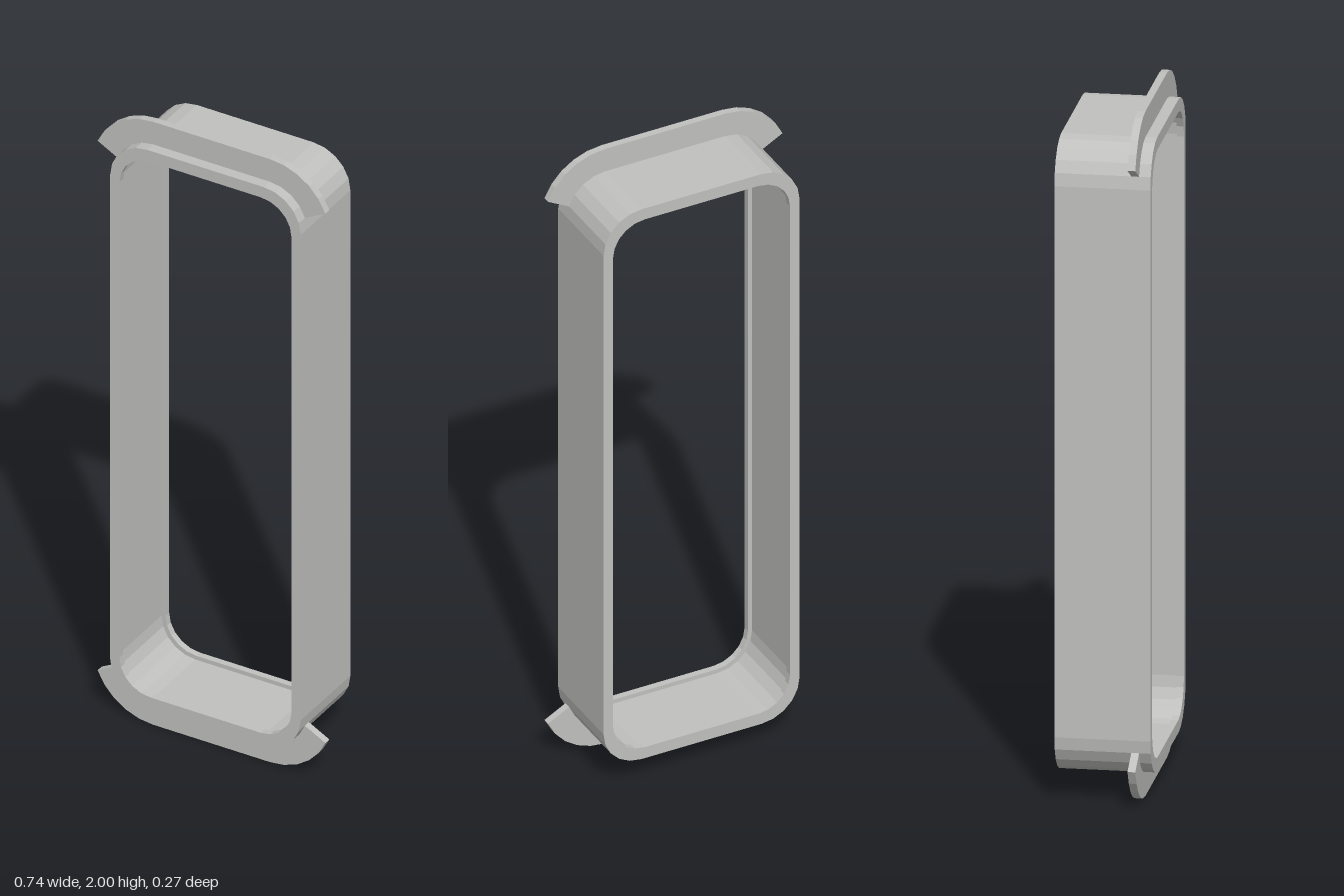
import * as THREE from 'three';

const CX = 0.19, CY = 0.805; // centres of the rounded corners, from the middle of the frame
const STEPS = 5;             // facets per corner

// Points of a corner arc, angles in degrees
function arc(cx, cy, r, from, to, steps = STEPS) {
  const pts = [];
  for (let i = 0; i <= steps; i++) {
    const a = THREE.MathUtils.degToRad(from + (to - from) * i / steps);
    pts.push(new THREE.Vector2(cx + r * Math.cos(a), cy + r * Math.sin(a)));
  }
  return pts;
}

// Faceted rounded rectangle with half sizes w, h and corner radius r
function roundedRect(w, h, r) {
  const x = w - r, y = h - r;
  return [
    ...arc(x, y, r, 0, 90), ...arc(-x, y, r, 90, 180),
    ...arc(-x, -y, r, 180, 270), ...arc(x, -y, r, 270, 360),
  ];
}

function extrude(outline, hole, z0, z1) {
  const shape = new THREE.Shape(outline);
  if (hole) shape.holes.push(new THREE.Path(hole));
  const geo = new THREE.ExtrudeGeometry(shape, { depth: z1 - z0, bevelEnabled: false });
  return geo.translate(0, 0, z0);
}

export function createModel() {
  const model = new THREE.Group();
  model.name = 'rectangularSleeve';
  const grey = new THREE.MeshStandardMaterial({ color: 0xc0c0be });
  grey.name = 'light grey';

  const add = (name, geo) => {
    const mesh = new THREE.Mesh(geo, grey);
    mesh.name = name;
    mesh.position.y = 1;
    model.add(mesh);
    return mesh;
  };

  // Sleeve: a thin wall between two slightly thicker end lips
  const outer = roundedRect(0.31, 0.925, 0.12);
  const lip = roundedRect(0.28, 0.888, 0.1);
  const recess = roundedRect(0.293, 0.901, 0.11);
  add('sleeveWall', extrude(outer, recess, -0.116, 0.116));
  add('frontLip', extrude(outer, lip, 0.116, 0.136));
  add('backLip', extrude(outer, lip, -0.136, -0.116));

  // Flanges: curved tabs that wrap the top and bottom corners near the front
  const flange = [
    ...arc(CX, CY, 0.195, 22, 90), ...arc(-CX, CY, 0.195, 90, 158),
    ...arc(-CX, CY, 0.12, 162, 90, 4), ...arc(CX, CY, 0.12, 90, 18, 4),
  ];
  add('topFlange', extrude(flange, null, 0.081, 0.103));
  add('bottomFlange', extrude(flange.map(p => new THREE.Vector2(p.x, -p.y)), null, 0.081, 0.103));

  return model;
}
